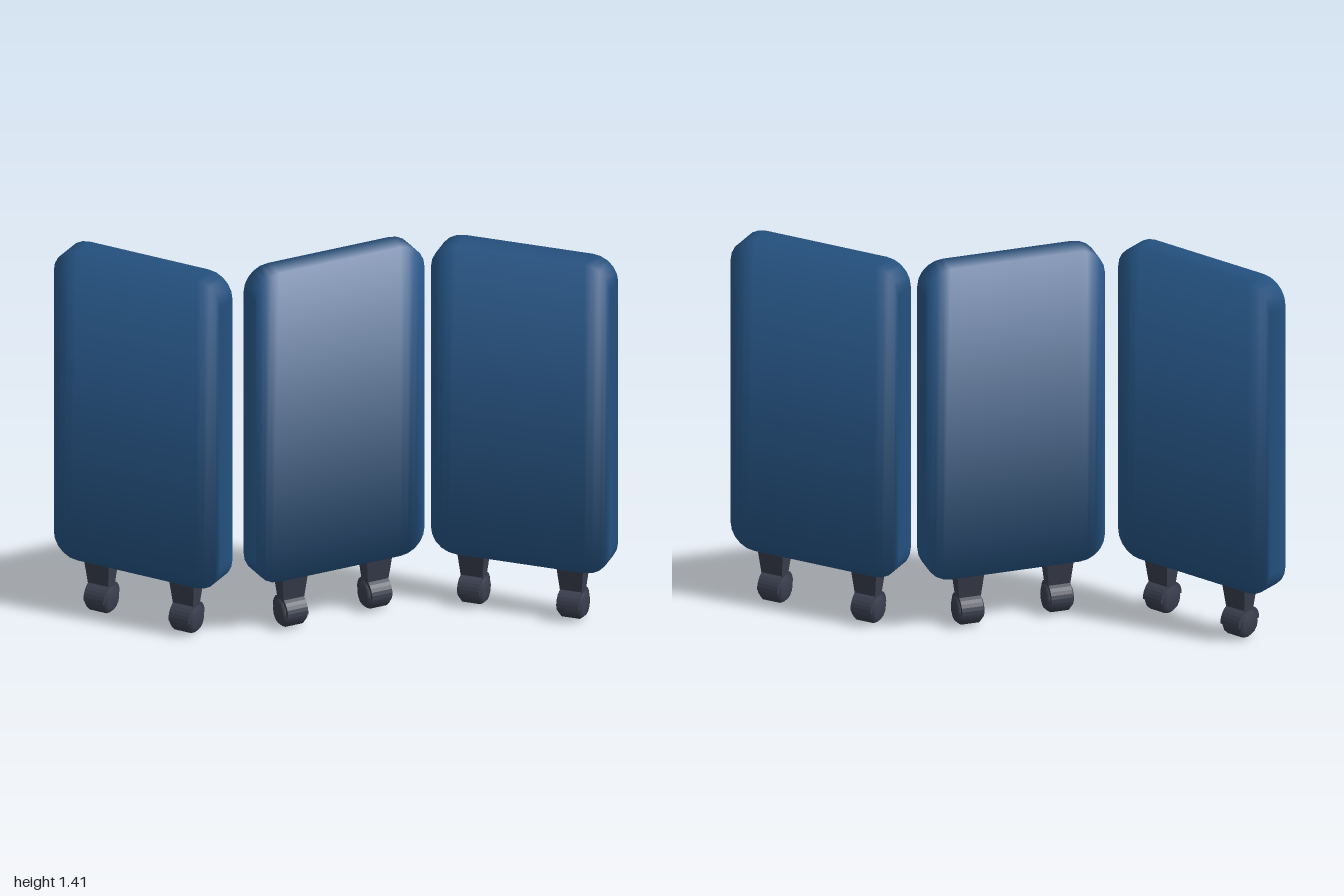
import * as THREE from 'three';

const blue = new THREE.MeshStandardMaterial({ color: 0x28588a });
const darkGrey = new THREE.MeshStandardMaterial({ color: 0x3a3e4e });
blue.name = 'fabricBlue';
darkGrey.name = 'casterGrey';

// Upright board with rounded corners and softly blended edge normals
function panelGeometry(width, height, depth, r) {
  const n = 5, columns = 2 * n + 1;
  const geo = new THREE.BoxGeometry(1, 1, 1, columns, 1, 1);
  const pos = geo.attributes.position, nor = geo.attributes.normal;
  const normal = new THREE.Vector3();
  for (let i = 0; i < pos.count; i++) {
    const column = Math.round((pos.getX(i) + 0.5) * columns);
    const sx = column <= n ? -1 : 1;
    const a = Math.min(column, columns - column) / n * Math.PI / 2;
    const sy = Math.sign(pos.getY(i)), sz = Math.sign(pos.getZ(i));
    pos.setXYZ(i,
      sx * (width / 2 - r + r * Math.cos(a)),
      sy * (height / 2 - r + r * Math.sin(a)),
      sz * depth / 2);
    normal.set(sx * Math.cos(a), sy * Math.sin(a), sz).normalize();
    nor.setXYZ(i, normal.x, normal.y, normal.z);
  }
  return geo;
}

// Caster stem: a box narrowing towards the wheel
function stemGeometry() {
  const geo = new THREE.BoxGeometry(0.104, 0.13, 0.08).toNonIndexed();
  const pos = geo.attributes.position;
  for (let i = 0; i < pos.count; i++) {
    if (pos.getY(i) < 0) {
      pos.setX(i, pos.getX(i) * 0.74);
      pos.setZ(i, pos.getZ(i) * 0.6);
    }
  }
  geo.computeVertexNormals();
  return geo;
}

// Wheel with chamfered rims, axle along x
function wheelGeometry() {
  const profile = [[0, -0.05], [0.04, -0.05], [0.055, -0.034],
    [0.055, 0.034], [0.04, 0.05], [0, 0.05]].map(p => new THREE.Vector2(...p));
  return new THREE.LatheGeometry(profile, 12).rotateZ(Math.PI / 2);
}

// Half-round cover over the wheel
function hoodGeometry() {
  const shape = new THREE.Shape();
  shape.absarc(0, 0, 0.062, 0, Math.PI, false);
  shape.closePath();
  return new THREE.ExtrudeGeometry(shape, { depth: 0.08, bevelEnabled: false, curveSegments: 7 })
    .translate(0, 0, -0.04).rotateY(Math.PI / 2);
}

export function createModel() {
  const model = new THREE.Group();
  model.name = 'foldingScreen';
  const add = (parent, name, geo, material, y) => {
    const mesh = new THREE.Mesh(geo, material);
    mesh.name = name;
    mesh.position.y = y;
    parent.add(mesh);
  };
  const board = panelGeometry(0.67, 1.215, 0.095, 0.095);
  const stem = stemGeometry(), wheel = wheelGeometry(), hood = hoodGeometry();

  // Three zigzag panels, each on two casters
  const panels = [
    { name: 'rightPanel', x: -0.69, turn: -32.2, feet: [-0.168, 0.175] },
    { name: 'middlePanel', x: -0.011, turn: 22.6, feet: [-0.172, 0.162] },
    { name: 'leftPanel', x: 0.667, turn: -22.6, feet: [-0.19, 0.182] },
  ];
  for (const { name, x, turn, feet } of panels) {
    const panel = new THREE.Group();
    panel.name = name;
    panel.position.x = x;
    panel.rotation.y = THREE.MathUtils.degToRad(turn);
    add(panel, 'board', board, blue, 0.8075);
    for (const footX of feet) {
      const caster = new THREE.Group();
      caster.name = 'caster';
      caster.position.x = footX;
      add(caster, 'stem', stem, darkGrey, 0.155);
      add(caster, 'hood', hood, darkGrey, 0.056);
      add(caster, 'wheel', wheel, darkGrey, 0.055);
      panel.add(caster);
    }
    model.add(panel);
  }
  return model;
}
